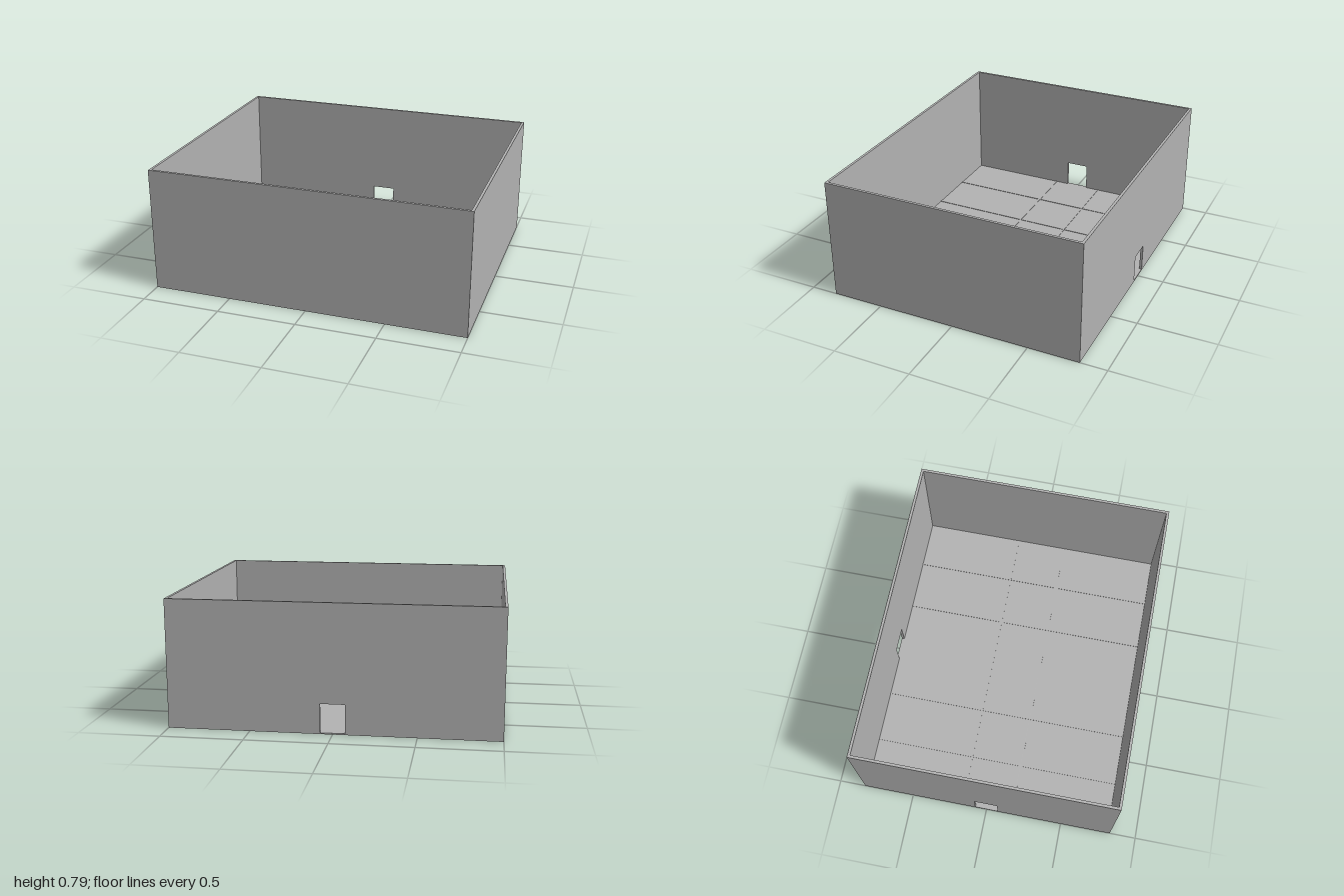
import * as THREE from 'three';

const W = 2, D = 1.66, H = 0.79; // outer size
const T = 0.0167;                // wall thickness
const FLOOR = 0.0083;            // floor thickness
const DOOR_W = 0.15, DOOR_TOP = 0.185;

const concrete = new THREE.MeshStandardMaterial({ color: 0xb2b2b2 });
concrete.name = 'concrete grey';

function addMesh(group, name, geometry, x = 0, y = 0, z = 0) {
  const mesh = new THREE.Mesh(geometry, concrete);
  mesh.name = name;
  mesh.position.set(x, y, z);
  group.add(mesh);
  return mesh;
}

// Upright wall centred on its own origin, optionally with a central doorway
function wallGeometry(length, hasDoor) {
  const h = length / 2, d = DOOR_W / 2;
  const shape = new THREE.Shape();
  shape.moveTo(-h, 0).lineTo(h, 0).lineTo(h, H).lineTo(-h, H).closePath();
  if (hasDoor) {
    const door = new THREE.Path();
    door.moveTo(-d, FLOOR).lineTo(-d, DOOR_TOP).lineTo(d, DOOR_TOP).lineTo(d, FLOOR).closePath();
    shape.holes.push(door);
  }
  return new THREE.ExtrudeGeometry(shape, { depth: T, bevelEnabled: false }).translate(0, 0, -T / 2);
}

export function createModel() {
  const model = new THREE.Group();
  model.name = 'roofless building';

  // Floor slab between the walls
  const innerW = W - 2 * T, innerD = D - 2 * T;
  addMesh(model, 'floor', new THREE.BoxGeometry(innerW, FLOOR, innerD), 0, FLOOR / 2, 0);

  // Long walls at front and back, short walls fitted between them
  addMesh(model, 'frontWall', wallGeometry(W, false), 0, 0, (D - T) / 2);
  addMesh(model, 'backWall', wallGeometry(W, true), 0, 0, -(D - T) / 2);
  addMesh(model, 'leftWall', wallGeometry(innerD, false), (W - T) / 2, 0, 0).rotation.y = Math.PI / 2;
  addMesh(model, 'rightWall', wallGeometry(innerD, true), -(W - T) / 2, 0, 0).rotation.y = Math.PI / 2;

  // Low strips marking out the rooms and the central corridor
  const strip = 0.01, rise = 0.003, y = FLOOR + rise / 2;
  for (const side of [-1, 1]) {
    addMesh(model, 'corridorStrip', new THREE.BoxGeometry(innerW, rise, strip), 0, y, side / 6);
    for (const x of [1 / 3, 2 / 3]) {
      addMesh(model, 'roomStrip', new THREE.BoxGeometry(strip, rise, innerD), side * x, y, 0);
    }
  }
  return model;
}
